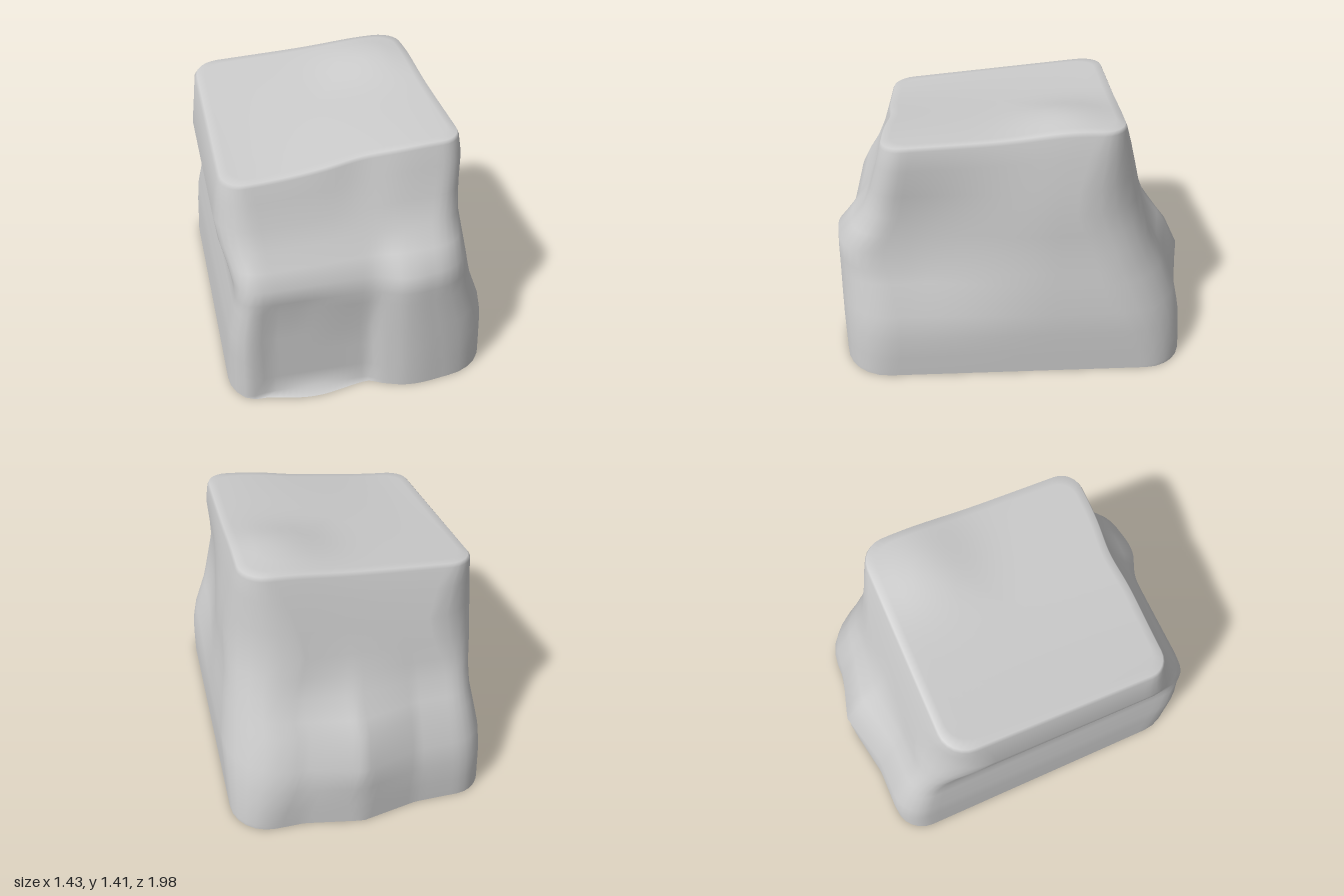
import * as THREE from 'three';

// Height levels: y, low x, high x, back z, front z,
// then corner radii at (+x, front), (+x, back), (-x, back), (-x, front)
const LEVELS = [
  [0, -0.715, 0.715, -0.93, 0.965, 0.25, 0.22, 0.17, 0.24],
  [0.02, -0.715, 0.715, -0.93, 0.965, 0.25, 0.22, 0.17, 0.24],
  [0.12, -0.71, 0.715, -0.93, 0.965, 0.26, 0.25, 0.17, 0.23],
  [0.25, -0.705, 0.715, -0.925, 0.965, 0.27, 0.30, 0.17, 0.22],
  [0.38, -0.695, 0.71, -0.90, 0.965, 0.27, 0.34, 0.17, 0.20],
  [0.55, -0.665, 0.68, -0.83, 0.965, 0.24, 0.34, 0.15, 0.18],
  [0.62, -0.655, 0.67, -0.79, 0.965, 0.22, 0.32, 0.14, 0.17],
  [0.72, -0.66, 0.65, -0.735, 0.96, 0.20, 0.30, 0.14, 0.18],
  [0.82, -0.68, 0.64, -0.705, 0.89, 0.18, 0.32, 0.18, 0.18],
  [0.92, -0.705, 0.63, -0.68, 0.82, 0.16, 0.34, 0.25, 0.18],
  [1.05, -0.72, 0.61, -0.645, 0.77, 0.14, 0.30, 0.29, 0.18],
  [1.20, -0.70, 0.58, -0.60, 0.73, 0.13, 0.21, 0.22, 0.15],
  [1.30, -0.685, 0.555, -0.565, 0.705, 0.12, 0.14, 0.15, 0.12],
  [1.32, -0.67, 0.545, -0.555, 0.695, 0.11, 0.13, 0.14, 0.11],
];
const SIDE = 28, CORNER = 6;
const { smoothstep, lerp, clamp } = THREE.MathUtils;
const bump = (x, z, cx, cz, w) => Math.exp(-((x - cx) ** 2 + (z - cz) ** 2) / (w * w));

// Uneven top: low at the (-x, front) corner, with a hump towards the back
function topHeight(x, z) {
  const u = clamp((x + 0.67) / 1.22, 0, 1), v = clamp((0.7 - z) / 1.24, 0, 1);
  const base = lerp(lerp(1.19, 1.32, smoothstep(u, 0, 1)), lerp(1.31, 1.385, u), v);
  return base + 0.05 * bump(x, z, 0.33, -0.27, 0.25);
}

// Rounded rectangle, walked from the front towards +x
function outline([, xl, xr, zb, zf, ...radii]) {
  const [a, b, c, d] = radii;
  const centres = [[xr - a, zf - a], [xr - b, zb + b], [xl + c, zb + c], [xl + d, zf - d]];
  const at = (k, t) => {
    const angle = (k + t) * Math.PI / 2;
    return [centres[k][0] + radii[k] * Math.sin(angle), centres[k][1] + radii[k] * Math.cos(angle)];
  };
  const pts = [];
  for (let k = 0; k < 4; k++) {
    for (let i = 0; i < CORNER; i++) pts.push(at(k, i / CORNER));
    const p = at(k, 1), q = at((k + 1) % 4, 0);
    for (let i = 0; i < SIDE; i++) pts.push([lerp(p[0], q[0], i / SIDE), lerp(p[1], q[1], i / SIDE)]);
  }
  return pts;
}

// Chipped front with a thin foot, ridge on the back, bowed +x flank
function weather(x, y, z) {
  let zz = z;
  if (z > 0.6) {
    // The -x half is set back; its lower panel is chipped deeper below a ledge
    const fade = 1 - smoothstep(y, lerp(0.53, 0.35, smoothstep(x, -0.35, 0)), 0.65);
    const panel = smoothstep(x, -0.62, -0.5) * (1 - smoothstep(x, 0.02, 0.1));
    const half = smoothstep(x, -0.66, -0.5) * (1 - smoothstep(x, 0, 0.22)) * (1 - smoothstep(y, 0.7, 0.9));
    const lip = (1 - smoothstep(y, 0, 0.02)) * bump(x, 0, -0.28, 0, 0.24);
    zz -= (0.04 * half + 0.025 * fade * panel) * (1 - lip);
    zz += 0.03 * bump(x, 0, 0.28, 0, 0.17) * (1 - smoothstep(y, 0.7, 0.9));
    zz -= 0.02 * bump(x, 0, 0.03, 0, 0.15) * smoothstep(y, 1.0, 1.25);
  } else if (z < -0.45) {
    const height = 0.06 + 0.03 * smoothstep(y, 0.2, 0.4);
    zz -= height * Math.max(0, 1 - Math.abs(x - 0.02) / 0.32) * (1 - smoothstep(y, 0.45, 0.95));
  }
  const waist = smoothstep(y, 0.2, 0.7) * (1 - smoothstep(y, 0.9, 1.3));
  const bow = 0.08 * smoothstep(z, -0.2, 0.6);
  return [x - waist * bow * smoothstep(x, 0, 0.55), zz];
}

function buildRock() {
  const pos = [], idx = [], n = 4 * (SIDE + CORNER);
  // Walls, stretched above the middle to meet the uneven top
  for (const level of LEVELS) {
    const Y = level[0];
    for (const [px, pz] of outline(level)) {
      const [x, z] = weather(px, Y, pz);
      const y = Y < 0.6 ? Y : 0.6 + (Y - 0.6) / 0.72 * (topHeight(x, z) - 0.6);
      pos.push(x, y, z);
    }
  }
  // Top surface as shrinking rings
  const cx = -0.06, cz = 0.07, rim = (LEVELS.length - 1) * n * 3;
  const scales = [0.93, 0.82, 0.7, 0.55, 0.4, 0.25, 0.1];
  for (const s of scales) {
    for (let i = 0; i < n; i++) {
      const x = lerp(cx, pos[rim + i * 3], s), z = lerp(cz, pos[rim + i * 3 + 2], s);
      pos.push(x, topHeight(x, z), z);
    }
  }
  const rows = LEVELS.length + scales.length;
  for (let r = 0; r < rows - 1; r++) {
    for (let i = 0; i < n; i++) {
      const a = r * n + i, b = r * n + (i + 1) % n;
      idx.push(a, b, b + n, a, b + n, a + n);
    }
  }
  // Centre of the top, then a flat underside with its own edge points
  const top = pos.length / 3, last = (rows - 1) * n;
  pos.push(cx, topHeight(cx, cz), cz, 0, 0, 0, ...pos.slice(0, n * 3));
  const bottom = top + 1, edge = top + 2;
  for (let i = 0; i < n; i++) {
    const j = (i + 1) % n;
    idx.push(last + i, last + j, top, edge + j, edge + i, bottom);
  }
  const geo = new THREE.BufferGeometry();
  geo.setAttribute('position', new THREE.Float32BufferAttribute(pos, 3));
  geo.setIndex(idx);
  geo.computeVertexNormals();
  return geo;
}

export function createModel() {
  const group = new THREE.Group();
  group.name = 'rockBlock';
  const rock = new THREE.Mesh(buildRock(), new THREE.MeshStandardMaterial({ color: 0xcccccc }));
  rock.name = 'rock';
  group.add(rock);
  return group;
}
